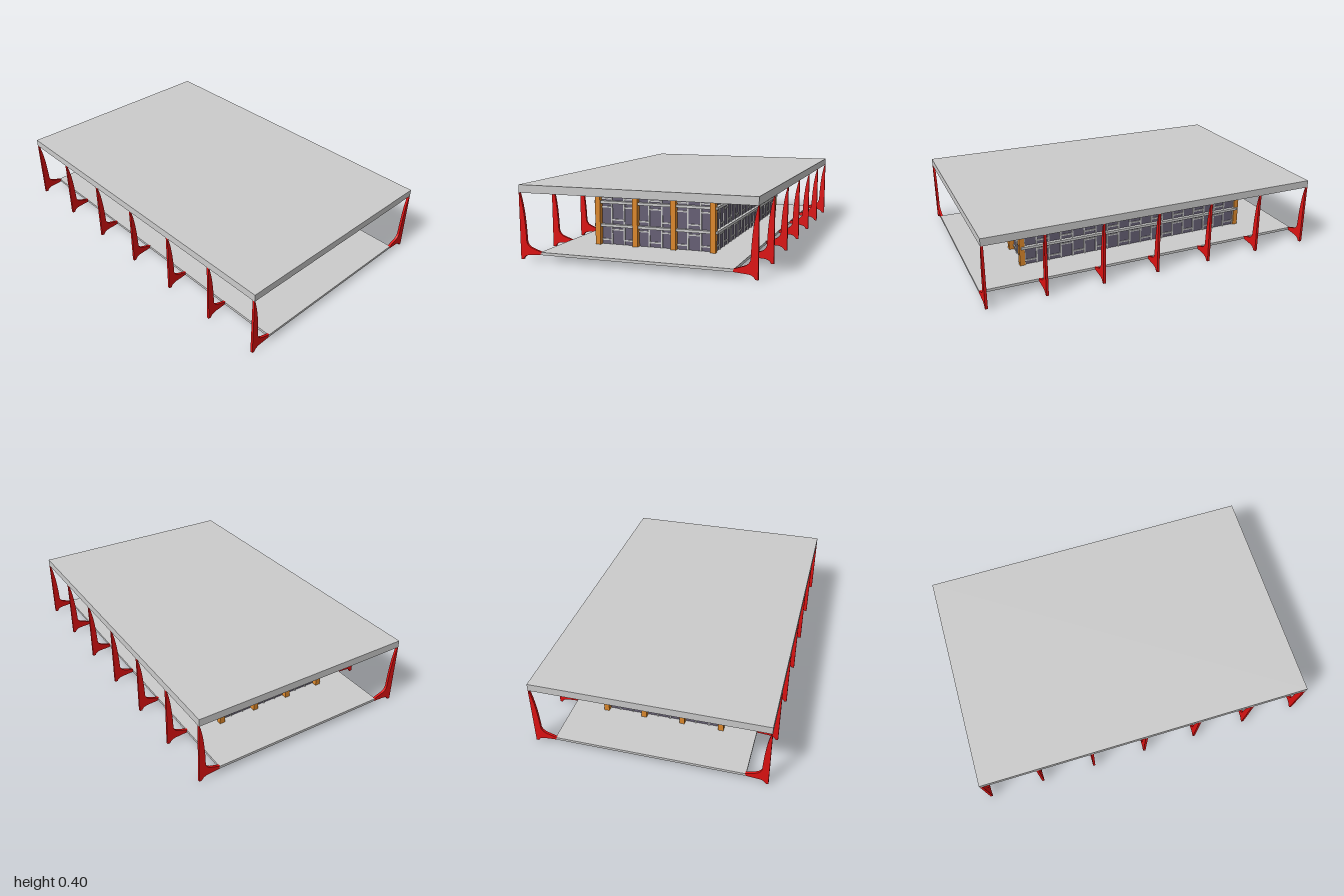
import * as THREE from 'three';

const mat = (color) => new THREE.MeshStandardMaterial({ color });
const grey = mat(0xcccccc);
const red = mat(0xe01212);
const orange = mat(0xe08a2c);
const glass = mat(0x686176);

function box(parent, name, material, w, h, d, x, y, z) {
  const mesh = new THREE.Mesh(new THREE.BoxGeometry(w, h, d), material);
  mesh.name = name;
  mesh.position.set(x, y, z);
  parent.add(mesh);
  return mesh;
}

const FLOOR = 0.045, CEILING = 0.36;
const RAILS = [0.153, 0.284];

// Curved support fin: foot, toe under the floor edge, tapering blade up to the roof
function finGeometry(thickness) {
  const s = new THREE.Shape();
  s.moveTo(0.655, 0);
  s.lineTo(0.64, 0);
  s.quadraticCurveTo(0.633, 0.022, 0.6, 0.025);
  s.lineTo(0.53, 0.03);
  s.lineTo(0.53, 0.045);
  s.lineTo(0.575, 0.06);
  s.quadraticCurveTo(0.612, 0.07, 0.617, 0.1);
  s.quadraticCurveTo(0.623, 0.27, 0.651, CEILING);
  s.lineTo(0.655, CEILING);
  s.closePath();
  const geo = new THREE.ExtrudeGeometry(s, { depth: thickness, bevelEnabled: false, curveSegments: 10 });
  return geo.translate(0, 0, -thickness / 2);
}

// Glazed wall facing +z, centred on its own origin, with staggered glazing bars
function makeWall(name, length, columns, railLength) {
  const wall = new THREE.Group();
  wall.name = name;
  const bar = 0.008, depth = 0.008;
  box(wall, 'glazing', glass, length, CEILING - FLOOR, 0.01, 0, (CEILING + FLOOR) / 2, -0.005);
  const pitch = length / columns;
  for (let i = 0; i <= columns; i++) {
    box(wall, 'mullion', grey, bar, CEILING - FLOOR, depth, -length / 2 + i * pitch, (CEILING + FLOOR) / 2, 0.002);
  }
  // cross bars step up and down from one pane to the next
  const rows = [[FLOOR, RAILS[0]], [RAILS[0], RAILS[1]], [RAILS[1], CEILING]];
  rows.forEach(([low, high], row) => {
    for (let i = 0; i < columns; i++) {
      const t = (i + row) % 2 ? 0.78 : 0.24;
      box(wall, 'crossBar', grey, pitch, bar, depth, -length / 2 + (i + 0.5) * pitch, low + (high - low) * t, 0.002);
    }
  });
  for (const y of RAILS) box(wall, 'rail', grey, railLength, 0.015, 0.022, 0, y, 0.009);
  return wall;
}

export function createModel() {
  const model = new THREE.Group();
  model.name = 'pavilion';

  box(model, 'roof', grey, 1.31, 0.043, 2, 0, 0.3815, 0);
  box(model, 'floor', grey, 1.07, 0.015, 2, 0, 0.0375, 0);

  // Seven fins along each long side
  const fin = finGeometry(0.014);
  for (let i = -3; i <= 3; i++) {
    for (const side of [0, Math.PI]) {
      const mesh = new THREE.Mesh(fin, red);
      mesh.name = 'supportFin';
      mesh.rotation.y = side;
      mesh.position.z = i * 0.331;
      model.add(mesh);
    }
  }

  // Glazed room: end walls with columns, and two long side walls
  const room = new THREE.Group();
  room.name = 'room';
  model.add(room);
  for (const s of [1, -1]) {
    const end = makeWall(s > 0 ? 'frontWall' : 'backWall', 0.674, 9, 0.7);
    end.position.z = s * 0.69;
    end.rotation.y = s > 0 ? 0 : Math.PI;
    const side = makeWall(s > 0 ? 'leftWall' : 'rightWall', 1.38, 19, 1.42);
    side.position.x = s * 0.341;
    side.rotation.y = s * Math.PI / 2;
    room.add(end, side);
    for (const x of [-0.337, -0.112, 0.112, 0.337]) {
      box(room, 'column', orange, 0.03, CEILING - FLOOR, 0.03, x, (CEILING + FLOOR) / 2, s * 0.705);
    }
  }
  return model;
}
